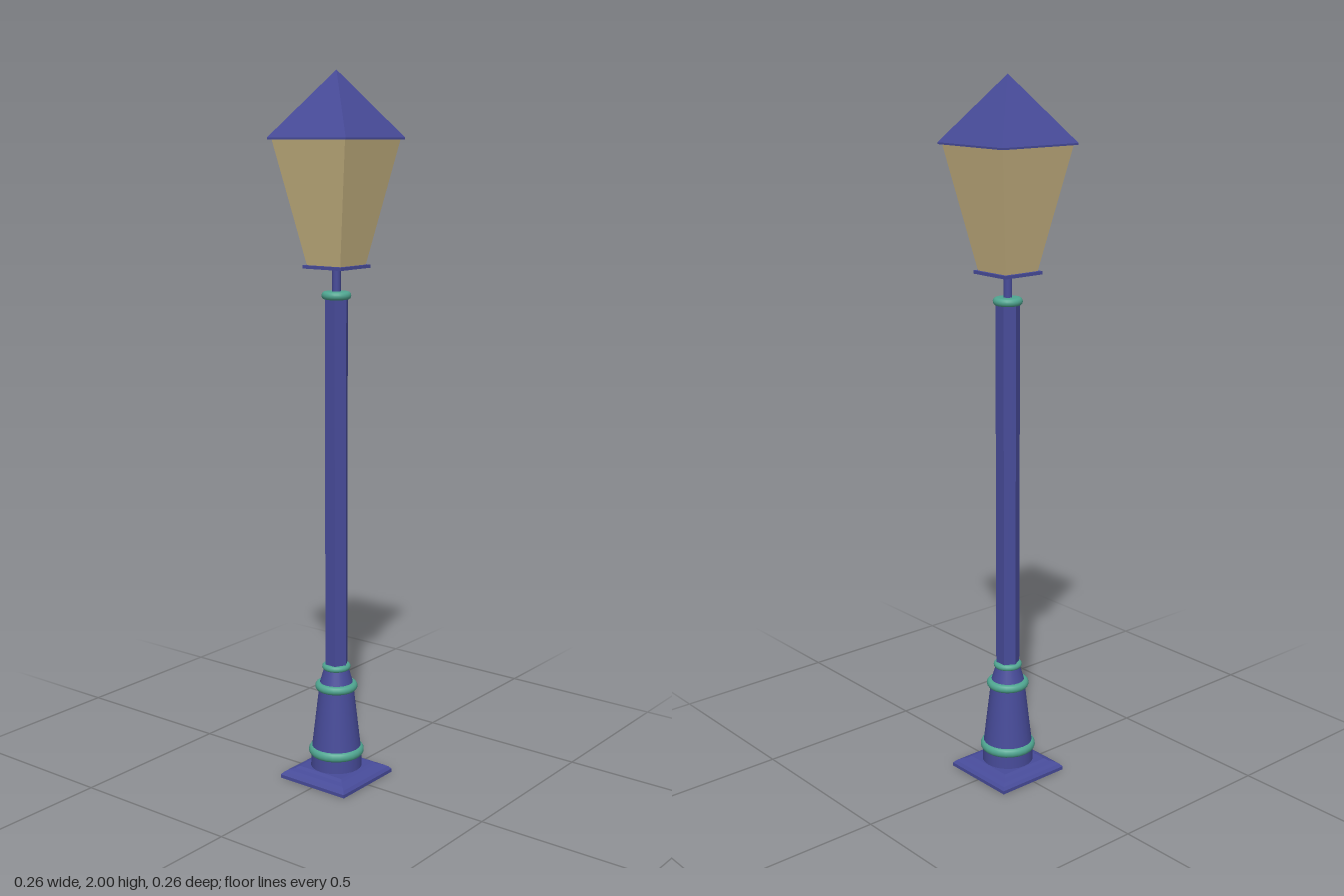
import * as THREE from 'three';

const blue = new THREE.MeshStandardMaterial({ color: 0x474b99, flatShading: true });
const smoothBlue = new THREE.MeshStandardMaterial({ color: 0x474b99 });
const teal = new THREE.MeshStandardMaterial({ color: 0x4fa590 });
const glass = new THREE.MeshStandardMaterial({ color: 0xc8b482, flatShading: true });

export function createModel() {
  const model = new THREE.Group();

  function add(name, geometry, material, y = 0) {
    const mesh = new THREE.Mesh(geometry, material);
    mesh.name = name;
    mesh.position.y = y;
    model.add(mesh);
    return mesh;
  }

  // Square solid from [half width, height] pairs, bottom to top
  function square(name, profile, material) {
    const points = profile.map(([w, y]) => new THREE.Vector2(w * Math.SQRT2, y));
    add(name, new THREE.LatheGeometry(points, 4, Math.PI / 4), material);
  }

  // Round solid with straight tapering sides
  function round(name, bottomRadius, topRadius, y0, y1, sides = 24, material = smoothBlue) {
    const geometry = new THREE.CylinderGeometry(topRadius, bottomRadius, y1 - y0, sides);
    return add(name, geometry, material, (y0 + y1) / 2);
  }

  // Rounded collar: solid of revolution with a half-ellipse rim
  function collar(name, y, radius, height, bulge) {
    const points = [new THREE.Vector2(0, -height / 2)];
    for (let i = 0; i <= 8; i++) {
      const a = -Math.PI / 2 + (Math.PI * i) / 8;
      points.push(new THREE.Vector2(radius - bulge + bulge * Math.cos(a), (height / 2) * Math.sin(a)));
    }
    points.push(new THREE.Vector2(0, height / 2));
    add(name, new THREE.LatheGeometry(points, 24), teal, y);
  }

  // Stepped square foot with a curved shoulder
  square('foot', [[0, 0], [0.115, 0], [0.115, 0.01], [0.108, 0.018], [0.098, 0.024],
    [0.084, 0.028], [0.076, 0.034], [0, 0.034]], blue);

  // Round pedestal
  round('pedestalBase', 0.074, 0.073, 0.03, 0.075);
  collar('lowerCollar', 0.082, 0.08, 0.028, 0.012);
  round('pedestal', 0.071, 0.05, 0.09, 0.27);
  collar('middleCollar', 0.276, 0.061, 0.024, 0.011);
  round('pedestalShoulder', 0.049, 0.034, 0.282, 0.332);
  collar('upperCollar', 0.334, 0.041, 0.018, 0.009);

  // Six-sided column
  const column = round('column', 0.034, 0.034, 0.33, 1.4, 6, blue);
  column.rotation.y = Math.PI / 6;
  collar('topCollar', 1.4, 0.041, 0.022, 0.01);
  round('lanternRod', 0.012, 0.012, 1.4, 1.48, 16);

  // Lantern: floor plate, tapering glass and pyramid roof
  square('lanternFloor', [[0, 1.474], [0.066, 1.474], [0.066, 1.483], [0, 1.483]], blue);
  square('lanternGlass', [[0, 1.482], [0.057, 1.482], [0.124, 1.822], [0, 1.822]], glass);
  square('roof', [[0, 1.818], [0.132, 1.818], [0.132, 1.823], [0, 2]], blue);

  return model;
}
